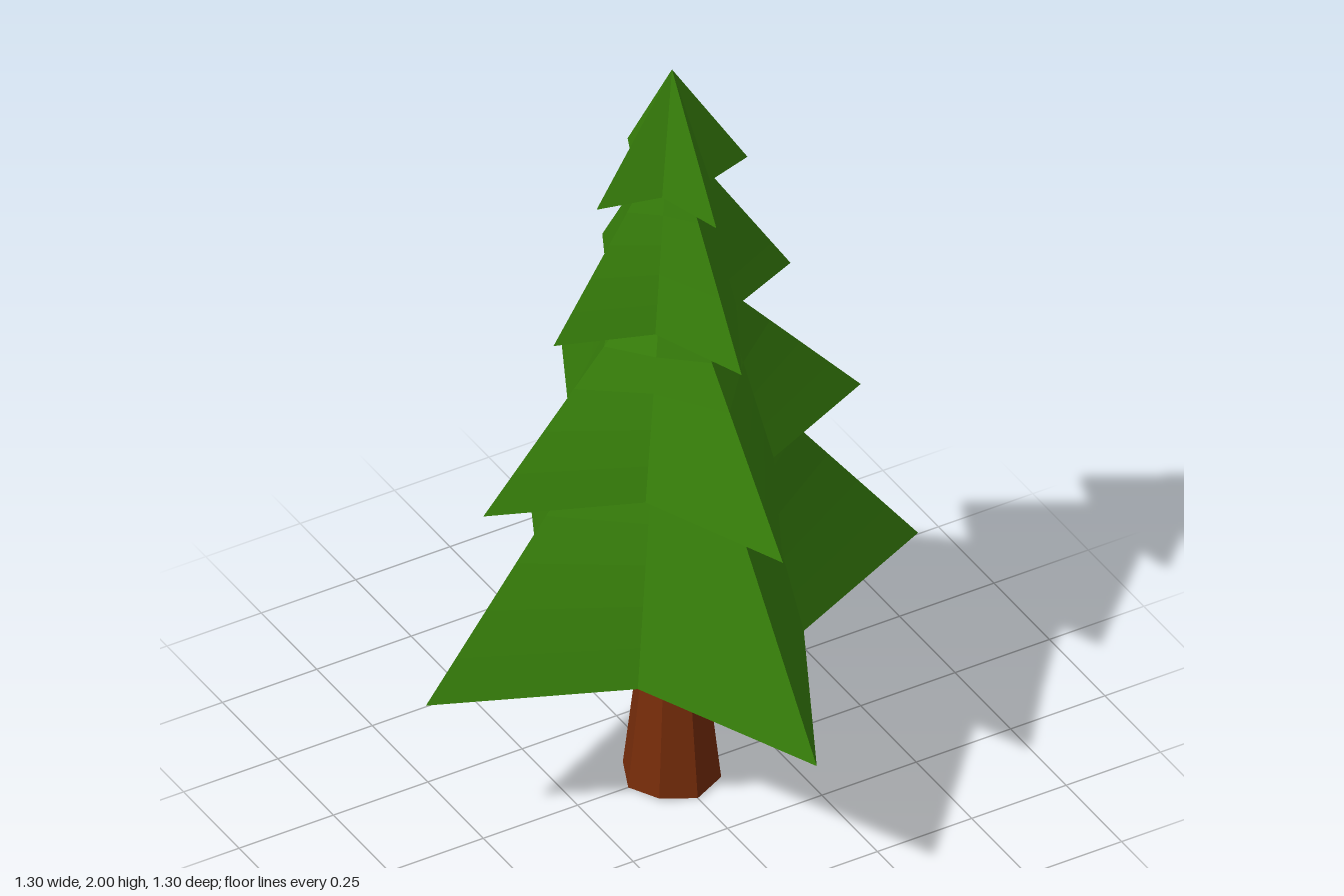
import * as THREE from 'three';

const STEPS = 5;

// Eight-cornered rings joined bottom to top; each ring is
// [radius on the axes, its y, radius on the diagonals, its y].
// Every band is cut into steps so its twisted faces stay even.
function ringGeometry(rings) {
  const point = (ring, i) => {
    const [r, y] = i % 2 ? [ring[2], ring[3]] : [ring[0], ring[1]];
    const a = (i * Math.PI) / 4;
    return new THREE.Vector3(r * Math.sin(a), y, r * Math.cos(a));
  };
  const blend = (p, q, t) => p.map((v, n) => v + (q[n] - v) * t);
  const positions = [], normals = [];
  for (let k = 0; k < rings.length - 1; k++) {
    for (let s = 0; s < STEPS; s++) {
      const low = blend(rings[k], rings[k + 1], s / STEPS);
      const high = blend(rings[k], rings[k + 1], (s + 1) / STEPS);
      for (let i = 0; i < 8; i++) {
        const a = point(low, i), b = point(low, i + 1);
        const c = point(high, i + 1), d = point(high, i);
        const normal = c.clone().sub(a).cross(d.clone().sub(b)).normalize();
        for (const p of [a, b, c, a, c, d]) {
          positions.push(p.x, p.y, p.z);
          normals.push(normal.x, normal.y, normal.z);
        }
      }
    }
  }
  const geometry = new THREE.BufferGeometry();
  geometry.setAttribute('position', new THREE.Float32BufferAttribute(positions, 3));
  geometry.setAttribute('normal', new THREE.Float32BufferAttribute(normals, 3));
  return geometry;
}

export function createModel() {
  const leafGreen = new THREE.MeshStandardMaterial({ color: 0x367d0a });
  leafGreen.name = 'leafGreen';
  const barkBrown = new THREE.MeshStandardMaterial({ color: 0x762c0a });
  barkBrown.name = 'barkBrown';

  const tree = new THREE.Group();
  tree.name = 'pineTree';

  // Four star-shaped tiers, each narrowing to a neck under the next one
  const foliage = new THREE.Mesh(ringGeometry([
    [0, 0.54, 0, 0.54],           // shallow hollow underside
    [0.27, 0.53, 0.15, 0.53],
    [0.56, 0.455, 0.265, 0.478],
    [0.652, 0.435, 0.311, 0.46],  // bottom tier
    [0.255, 0.96, 0.191, 0.96],
    [0.5, 0.916, 0.24, 0.94],     // second tier
    [0.1, 1.37, 0.12, 1.37],
    [0.314, 1.331, 0.152, 1.355], // third tier
    [0.07, 1.715, 0.064, 1.715],
    [0.2, 1.676, 0.09, 1.7],      // top tier
    [0, 2, 0, 2],
  ]), leafGreen);
  foliage.name = 'foliage';
  tree.add(foliage);

  // Octagonal trunk with a narrow waist and a dished foot
  const trunk = new THREE.Mesh(ringGeometry([
    [0, 0.04, 0, 0.04],
    [0.116, 0, 0.116, 0.008],
    [0.085, 0.28, 0.085, 0.28],
    [0.117, 0.535, 0.117, 0.535],
  ]), barkBrown);
  trunk.name = 'trunk';
  tree.add(trunk);

  return tree;
}
